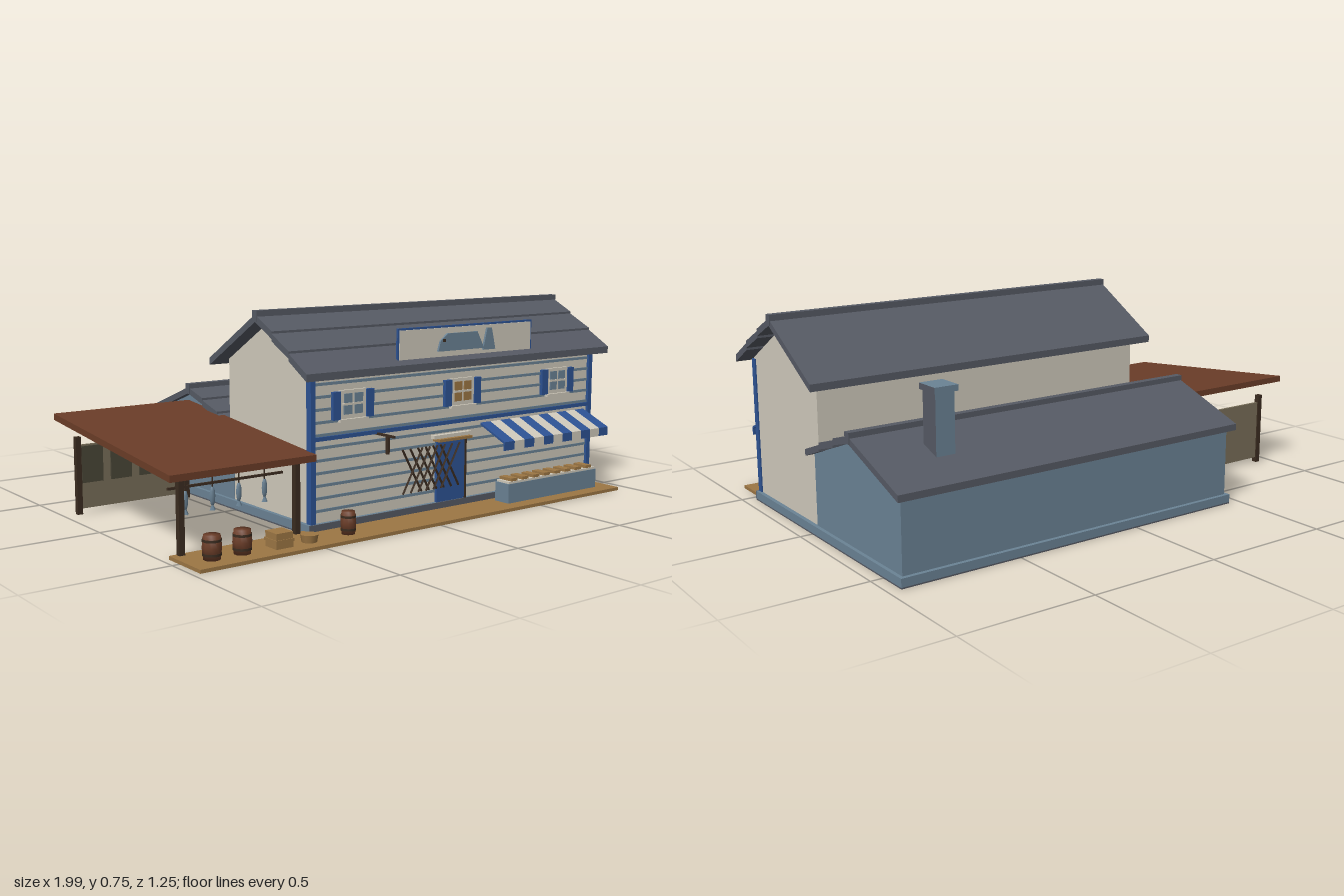
import * as THREE from 'three';

const mat = (name, color) => Object.assign(new THREE.MeshStandardMaterial({ color }), { name });

export function createModel() {
  const root = new THREE.Group();
  root.name = 'harbourShop';
  const cream = mat('cream', 0xd0cabc), blue = mat('blue', 0x2d5394), slate = mat('slateBlue', 0x6b8395),
    roofGrey = mat('roofGrey', 0x565a64), tan = mat('tanWood', 0x9c7644), rust = mat('rustBrown', 0x6b3d28),
    dark = mat('darkWood', 0x3b2c20), fence = mat('fenceWood', 0x786e59), olive = mat('darkOlive', 0x4a4637);

  const add = (name, geo, m, parent = root) => {
    const mesh = new THREE.Mesh(geo, m);
    mesh.name = name;
    parent.add(mesh);
    return mesh;
  };
  const group = (name) => {
    const g = new THREE.Group();
    g.name = name;
    root.add(g);
    return g;
  };
  // Box from its limits
  const box = (name, m, x0, x1, y0, y1, z0, z1, parent) => {
    const mesh = add(name, new THREE.BoxGeometry(x1 - x0, y1 - y0, z1 - z0), m, parent);
    mesh.position.set((x0 + x1) / 2, (y0 + y1) / 2, (z0 + z1) / 2);
    return mesh;
  };
  // [z, y] outline extruded along x
  const prism = (name, m, x0, x1, pts, parent) => {
    const shape = new THREE.Shape(pts.map(([z, y]) => new THREE.Vector2(-z, y)));
    const geo = new THREE.ExtrudeGeometry(shape, { depth: x1 - x0, bevelEnabled: false });
    geo.rotateY(Math.PI / 2).translate(x0, 0, 0);
    return add(name, geo, m, parent);
  };
  // [x, y] outline extruded along z
  const plate = (name, m, pts, z, depth, parent) => {
    const shape = new THREE.Shape(pts.map(([x, y]) => new THREE.Vector2(x, y)));
    const geo = new THREE.ExtrudeGeometry(shape, { depth, bevelEnabled: false });
    return add(name, geo.translate(0, 0, z), m, parent);
  };
  const beam = (name, m, a, b, t, parent) => {
    const p = new THREE.Vector3(...a), q = new THREE.Vector3(...b);
    const mesh = add(name, new THREE.BoxGeometry(t, t, p.distanceTo(q)), m, parent);
    mesh.position.copy(p).lerp(q, 0.5);
    mesh.quaternion.setFromUnitVectors(new THREE.Vector3(0, 0, 1), q.sub(p).normalize());
    return mesh;
  };

  // Foundation
  box('foundation', slate, -0.455, 0.955, 0.005, 0.035, -0.615, 0.468);
  box('foundationUnderside', roofGrey, -0.455, 0.955, 0, 0.005, -0.615, 0.468);
  box('frontPlinth', roofGrey, -0.455, 0.955, 0, 0.035, 0.468, 0.472);

  // Main house and rear annex
  prism('mainHouse', cream, -0.44, 0.94,
    [[0.455, 0.035], [0.455, 0.55], [0.2, 0.7], [-0.05, 0.555], [-0.05, 0.035]]);
  prism('rearAnnex', slate, -0.442, 0.942,
    [[-0.02, 0.035], [-0.02, 0.294], [-0.31, 0.4], [-0.6, 0.294], [-0.6, 0.035]]);

  // Gable roof: plain back slope, three overlapping courses in front, ridge cap
  const gableRoof = (name, x0, x1, zr, yr, run, drop, t) => {
    const g = group(name);
    prism('backSlope', roofGrey, x0, x1,
      [[zr, yr], [zr - run, yr - drop], [zr - run, yr - drop - t], [zr, yr - t]], g);
    for (let i = 0; i < 3; i++) {
      const a = i / 3, b = (i + 1) / 3, lift = i < 2 ? 0.008 : 0;
      prism('frontCourse', roofGrey, x0, x1, [
        [zr + run * a, yr - drop * a], [zr + run * b, yr - drop * b + lift],
        [zr + run * b, yr - drop * b - t + lift], [zr + run * a, yr - drop * a - t]], g);
    }
    box('ridgeCap', roofGrey, x0 - 0.003, x1 + 0.003, yr - 0.025, yr + 0.014, zr - 0.014, zr + 0.014, g);
  };
  gableRoof('mainRoof', -0.49, 0.99, 0.2, 0.735, 0.305, 0.178, 0.026);
  gableRoof('annexRoof', -0.465, 0.965, -0.31, 0.423, 0.315, 0.115, 0.024);

  // Chimney, grey on one side
  const chimneyMats = [roofGrey, slate, slate, slate, slate, slate];
  box('chimneyShaft', chimneyMats, 0.672, 0.744, 0.33, 0.567, -0.49, -0.413);
  box('chimneyCap', chimneyMats, 0.663, 0.752, 0.567, 0.588, -0.5, -0.405);

  // Facade siding lines and blue trim
  for (let i = 0; i < 11; i++) {
    const y = 0.072 + i * 0.0435;
    box('sidingLine', slate, -0.43, 0.93, y, y + 0.01, 0.455, 0.459);
  }
  for (const x of [-0.435, 0.935]) box('cornerTrim', blue, x - 0.01, x + 0.01, 0.035, 0.545, 0.44, 0.466);
  box('beltTrim', blue, -0.44, 0.94, 0.319, 0.333, 0.455, 0.466);

  // Upper windows with shutters
  [[-0.265, slate], [0.243, tan], [0.745, slate]].forEach(([x, glass]) => {
    const g = group('window');
    box('frame', cream, x - 0.057, x + 0.057, 0.385, 0.485, 0.455, 0.465, g);
    box('sill', cream, x - 0.062, x + 0.062, 0.376, 0.386, 0.455, 0.475, g);
    for (const sx of [-1, 1]) {
      const s = x + sx * 0.072;
      box('shutter', blue, s - 0.016, s + 0.016, 0.385, 0.482, 0.455, 0.47, g);
      for (const py of [0.417, 0.457]) {
        box('pane', glass, x + sx * 0.023 - 0.018, x + sx * 0.023 + 0.018, py - 0.016, py + 0.016, 0.465, 0.468, g);
      }
    }
    box('muntin', cream, x - 0.046, x + 0.046, 0.433, 0.441, 0.465, 0.47, g);
  });

  // Door
  const door = group('door');
  box('doorLeaf', blue, 0.12, 0.255, 0.035, 0.272, 0.455, 0.467, door);
  box('jamb', dark, 0.255, 0.263, 0.035, 0.272, 0.455, 0.47, door);
  box('lintel', tan, 0.11, 0.27, 0.262, 0.272, 0.455, 0.492, door);
  box('lintelTop', cream, 0.1, 0.28, 0.272, 0.285, 0.455, 0.475, door);

  // Net hung on the wall
  const net = group('wallNet');
  for (let i = 0; i < 6; i++) {
    const x = -0.05 + i * 0.036;
    beam('netCord', dark, [x, 0.25, 0.474], [x + 0.09, 0.09, 0.474], 0.006, net);
    beam('netCord', dark, [x + 0.09, 0.25, 0.478], [x, 0.09, 0.478], 0.006, net);
  }

  // Hanging bracket
  box('bracketArm', dark, -0.161, -0.153, 0.316, 0.324, 0.455, 0.557);
  box('bracketSign', dark, -0.161, -0.153, 0.255, 0.316, 0.513, 0.527);

  // Striped awning with valance
  const awning = group('awning');
  for (let i = 0; i < 11; i++) {
    const w = 0.565 / 11, x = 0.34 + i * w;
    prism('awningStripe', i % 2 ? cream : blue, x, x + w, [[0.46, 0.308], [0.59, 0.252], [0.59, 0.22],
      [0.584, 0.22], [0.584, 0.246], [0.46, 0.3]], awning);
  }

  // Market stand with its goods
  const stand = group('marketStand');
  box('standBox', slate, 0.385, 0.865, 0.012, 0.085, 0.5, 0.57, stand);
  box('standTray', cream, 0.39, 0.86, 0.085, 0.093, 0.503, 0.567, stand);
  for (let i = 0; i < 8; i++) {
    const x = 0.42 + i * 0.058;
    box('goods', tan, x - 0.016, x + 0.016, 0.093, 0.104, 0.503, 0.565, stand);
  }

  // Roof sign with a fish
  const sign = group('roofSign');
  box('signBack', blue, -0.08, 0.58, 0.565, 0.683, 0.47, 0.478, sign);
  box('signPanel', cream, -0.073, 0.573, 0.572, 0.676, 0.478, 0.481, sign);
  plate('fishBody', slate, [[0.1, 0.592], [0.112, 0.63], [0.145, 0.655], [0.29, 0.655], [0.325, 0.592]], 0.481, 0.008, sign);
  plate('fishTail', slate, [[0.32, 0.585], [0.34, 0.665], [0.362, 0.665], [0.382, 0.585]], 0.481, 0.008, sign);
  box('fishEye', dark, 0.122, 0.132, 0.626, 0.636, 0.489, 0.492, sign);

  // Boardwalk
  box('boardwalk', tan, -0.975, 0.935, 0, 0.012, 0.435, 0.628);

  // Lean-to: sloping roof, posts and back fence
  prism('leanToRoof', rust, -1, -0.442, [[-0.345, 0.368], [0.495, 0.283], [0.495, 0.26], [-0.345, 0.345]]);
  for (const x of [-0.94, -0.495]) {
    box('frontPost', dark, x - 0.01, x + 0.01, 0, 0.275, 0.44, 0.46);
    box('backPost', dark, x - 0.01, x + 0.01, 0, 0.285, -0.295, -0.275);
  }
  box('backFence', fence, -0.93, -0.5, 0.02, 0.255, -0.29, -0.28);
  for (let i = 0; i < 4; i++) {
    const x = -0.888 + i * 0.116;
    box('fencePanel', olive, x - 0.042, x + 0.042, 0.115, 0.25, -0.28, -0.273);
  }

  // Drying rail with hanging fish
  box('dryingRail', dark, -0.94, -0.495, 0.206, 0.214, 0.366, 0.374);
  for (let i = 0; i < 4; i++) {
    const x = -0.875 + i * 0.102;
    const fish = add('hangingFish', new THREE.SphereGeometry(1, 8, 6), slate);
    fish.scale.set(0.011, 0.034, 0.007);
    fish.position.set(x, 0.165, 0.37);
    const tail = add('hangingFishTail', new THREE.ConeGeometry(0.012, 0.024, 4), slate);
    tail.position.set(x, 0.13, 0.37);
    box('hook', dark, x - 0.002, x + 0.002, 0.195, 0.27, 0.368, 0.372);
  }

  // Barrels with hoops
  for (const [x, z, r, h] of [[-0.885, 0.548, 0.033, 0.08], [-0.773, 0.548, 0.033, 0.08], [-0.355, 0.555, 0.028, 0.078]]) {
    const b = group('barrel');
    b.position.set(x, 0.012, z);
    const profile = [[0, 0], [0.85, 0], [1, 0.5], [0.85, 1], [0, 1]];
    add('staves', new THREE.LatheGeometry(profile.map(([a, y]) => new THREE.Vector2(a * r, y * h)), 10), rust, b);
    for (const t of [0.22, 0.78]) {
      const hoop = add('hoop', new THREE.CylinderGeometry(r * 0.97, r * 0.97, 0.008, 10), dark, b);
      hoop.position.y = t * h;
    }
  }

  // Crate and basket
  box('crate', tan, -0.665, -0.6, 0.012, 0.064, 0.517, 0.582);
  box('crateBand', tan, -0.668, -0.597, 0.032, 0.042, 0.514, 0.585);
  const basket = add('basket', new THREE.CylinderGeometry(0.031, 0.026, 0.026, 12), tan);
  basket.position.set(-0.52, 0.025, 0.56);

  return root;
}
